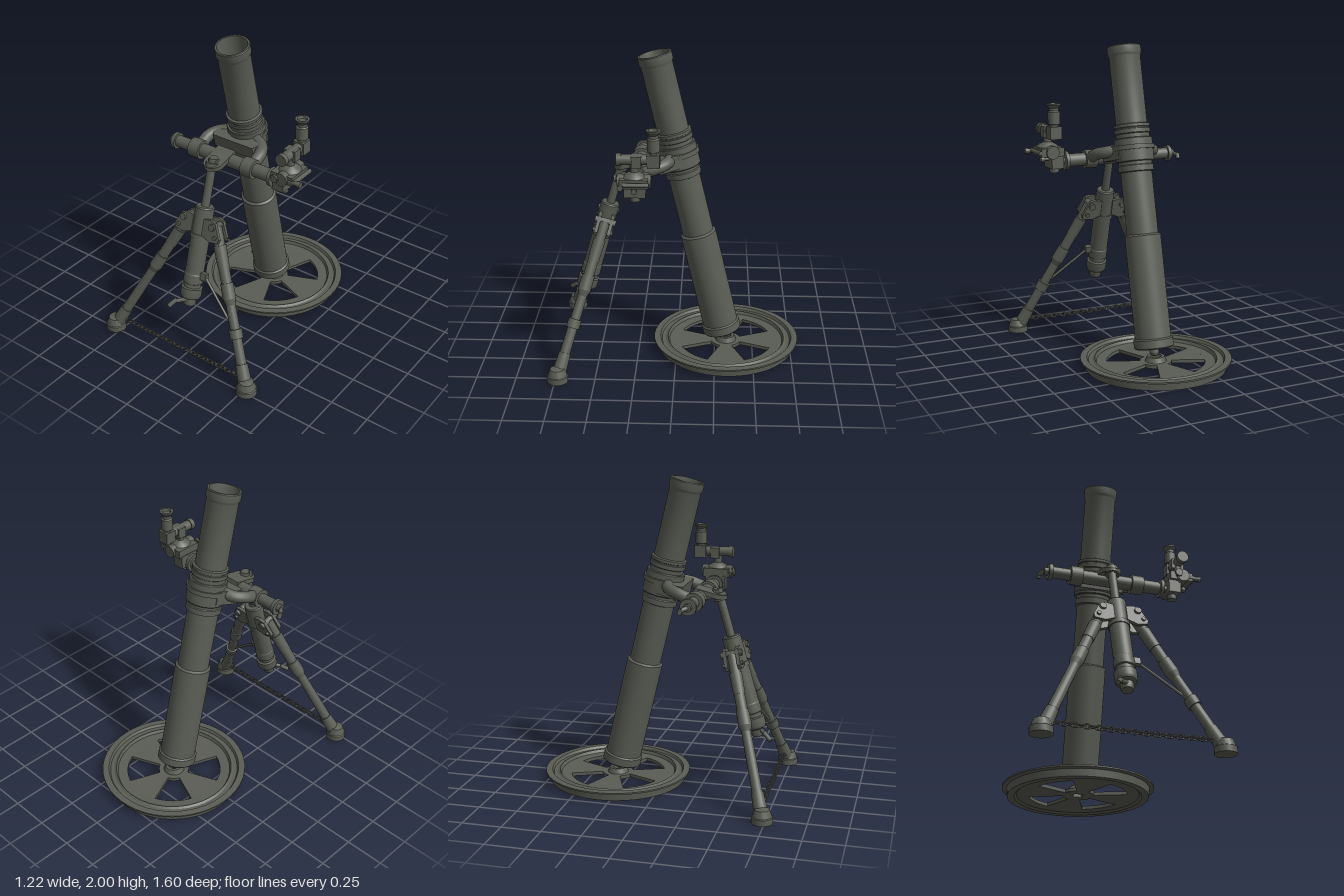
import * as THREE from 'three';
import { toCreasedNormals } from 'three/addons/utils/BufferGeometryUtils.js';

const olive = new THREE.MeshStandardMaterial({ color: 0x5a5d55 });
olive.name = 'olive grey';

const V = (x, y, z) => new THREE.Vector3(x, y, z);

function add(parent, name, geo, pos = [0, 0, 0], rot = [0, 0, 0]) {
  const m = new THREE.Mesh(geo, olive);
  m.name = name;
  m.position.set(...pos);
  m.rotation.set(...rot);
  parent.add(m);
  return m;
}
function group(parent, name, pos = [0, 0, 0], rx = 0) {
  const g = new THREE.Group();
  g.name = name;
  g.position.set(...pos);
  g.rotation.x = rx;
  parent.add(g);
  return g;
}
// turned part, profile given as [radius, height]
const turned = (pts, seg = 40) =>
  toCreasedNormals(new THREE.LatheGeometry(pts.map(p => new THREE.Vector2(...p)), seg), 0.5);
const cyl = (r, h, seg = 20, r2 = r) => new THREE.CylinderGeometry(r, r2, h, seg);
const box = (x, y, z) => new THREE.BoxGeometry(x, y, z);
const plate = (shape, depth) =>
  new THREE.ExtrudeGeometry(shape, { depth, bevelEnabled: false, curveSegments: 20 });
const poly = pts => new THREE.Shape(pts.map(p => new THREE.Vector2(...p)));

// cylinder between two points, ra at a and rb at b
function rod(parent, name, a, b, ra, rb = ra, seg = 18) {
  const d = b.clone().sub(a);
  const m = add(parent, name, new THREE.CylinderGeometry(rb, ra, d.length(), seg));
  m.position.copy(a).addScaledVector(d, 0.5);
  m.quaternion.setFromUnitVectors(V(0, 1, 0), d.normalize());
  return m;
}
const alongX = [0, 0, Math.PI / 2], alongZ = [Math.PI / 2, 0, 0];

function basePlate(root) {
  const g = group(root, 'basePlate', [0, 0, -0.325]);
  add(g, 'plateRim', turned([[0.31, 0.012], [0.385, 0.012], [0.4, 0], [0.445, 0], [0.45, 0.046],
    [0.477, 0.052], [0.477, 0.062], [0.435, 0.064], [0.425, 0.046], [0.4, 0.046], [0.385, 0.056],
    [0.375, 0.036], [0.31, 0.034], [0.31, 0.012]], 48));
  // spoked disc with four wedge openings
  const disc = new THREE.Shape().absarc(0, 0, 0.33, 0, Math.PI * 2);
  for (let i = 0; i < 4; i++) {
    const mid = Math.PI / 4 + i * Math.PI / 2, h = Math.PI / 8;
    const hole = new THREE.Path();
    hole.absarc(0, 0, 0.32, mid - h, mid + h, false);
    hole.absarc(0, 0, 0.1, mid + h, mid - h, true);
    hole.closePath();
    disc.holes.push(hole);
  }
  disc.holes.push(new THREE.Path([[-1, -1], [1, -1], [1, 1], [-1, 1]].map(p =>
    new THREE.Vector2(p[0] * 0.03, p[1] * 0.03))));
  add(g, 'spokes', plate(disc, 0.022), [0, 0.012, 0], [-Math.PI / 2, 0, 0]);
  add(g, 'ballSocket', turned([[0.036, 0.03], [0.07, 0.03], [0.055, 0.065], [0.036, 0.065], [0.036, 0.03]], 24));
}

function barrel(root) {
  const g = group(root, 'barrel', [0, 0.11, -0.3], 0.232);
  add(g, 'barrelTube', turned([[0, -0.055], [0.02, -0.048], [0.03, -0.03], [0.03, 0], [0.118, 0],
    [0.126, 0.008], [0.126, 0.058], [0.115, 0.066], [0.115, 0.712], [0.1, 0.722], [0.1, 1.115],
    [0.113, 1.12], [0.113, 1.155], [0.107, 1.16], [0.107, 1.355], [0.114, 1.36], [0.114, 1.385],
    [0.108, 1.388], [0.108, 1.394], [0.114, 1.397], [0.114, 1.415], [0.1, 1.42], [0.1, 1.85],
    [0.108, 1.865], [0.108, 1.912], [0.104, 1.917], [0.093, 1.917], [0.09, 1.9], [0.09, 1.3], [0, 1.3]], 40));
  // collar holding the barrel
  add(g, 'collar', turned([[0.1, 1.18], [0.118, 1.18], [0.122, 1.185], [0.122, 1.325], [0.118, 1.33], [0.1, 1.33]]));
  const block = poly([[-0.122, 0.03], [0.122, 0.03], [0.165, -0.125], [0.15, -0.155], [-0.15, -0.155], [-0.165, -0.125]]);
  add(g, 'collarBlock', plate(block, 0.09), [0, 1.2, 0], [-Math.PI / 2, 0, 0]);
  add(g, 'collarCap', cyl(0.132, 0.03, 32), [0, 1.27, 0]);
}

function crossPiece(root) {
  const g = group(root, 'crossPiece', [0, 1.255, 0.235]);
  add(g, 'crossTube', cyl(0.037, 0.73), [-0.005, 0, 0], alongX);
  add(g, 'crossTubeCentre', cyl(0.043, 0.34), [0, 0, 0], alongX);
  add(g, 'crossTubeEnd', cyl(0.042, 0.11), [0.295, 0, 0], alongX);
  add(g, 'endFlange', cyl(0.06, 0.022), [0.368, 0, 0], alongX);
  add(g, 'sightShaft', cyl(0.022, 0.08), [0.41, 0, 0], alongX);
  add(g, 'endCap', cyl(0.052, 0.025), [-0.367, 0, 0], alongX);
  add(g, 'endHub', cyl(0.025, 0.03), [-0.39, 0, 0], alongX);
  // traverse crank
  rod(g, 'crankArm', V(-0.4, 0, 0), V(-0.425, -0.01, -0.03), 0.014);
  rod(g, 'crankHandle', V(-0.425, 0.0, -0.03), V(-0.425, -0.035, -0.045), 0.014);
  for (const s of [-1, 1]) {
    add(g, 'yokeRing', cyl(0.06, 0.078, 24), [s * 0.2, 0, 0], alongX);
    const curve = new THREE.CatmullRomCurve3([V(s * 0.1, 0.075, -0.2), V(s * 0.165, 0.06, -0.165),
      V(s * 0.197, 0.045, -0.11), V(s * 0.2, 0.015, -0.03)]);
    add(g, 'yokeArm', new THREE.TubeGeometry(curve, 14, 0.038, 14));
  }
  // lug carrying the elevating column
  const lug = new THREE.Shape();
  lug.moveTo(-0.065, 0.05).lineTo(-0.065, -0.085);
  lug.absarc(0, -0.085, 0.065, Math.PI, Math.PI * 2, false);
  lug.lineTo(0.065, 0.05);
  const lg = group(g, 'columnLug', [0, 0.015, 0.01], 0.232);
  add(lg, 'lugPlate', plate(lug, 0.03), [0, 0, 0], [-Math.PI / 2, 0, 0]);
  add(lg, 'lugBolt', cyl(0.033, 0.02, 6), [0, 0.04, 0.085]);
}

const pin = V(0, 1.265, 0.35), tilt = -0.284;

function column(root) {
  const g = group(root, 'elevatingColumn', pin.toArray(), tilt);
  add(g, 'columnHead', cyl(0.042, 0.05), [0, -0.01, 0]);
  add(g, 'innerRod', cyl(0.027, 0.4), [0, -0.16, 0]);
  add(g, 'outerSleeve', turned([[0, -0.94], [0.035, -0.94], [0.04, -0.925], [0.04, -0.895], [0.06, -0.885],
    [0.068, -0.87], [0.068, -0.815], [0.055, -0.81], [0.055, -0.785], [0.063, -0.78], [0.063, -0.72], [0.06, -0.715],
    [0.06, -0.278], [0.054, -0.27], [0, -0.27]], 28));
  // elevation crank
  rod(g, 'crankArm', V(0, -0.9, 0.02), V(-0.06, -0.925, 0.06), 0.014);
  rod(g, 'crankHandle', V(-0.06, -0.915, 0.055), V(-0.09, -0.965, 0.09), 0.015);
  // leg hinges: paired cheeks with bolts
  for (const s of [-1, 1]) {
    const cheek = [[0.04, -0.335], [0.09, -0.325], [0.125, -0.335], [0.172, -0.43], [0.165, -0.455], [0.1, -0.465], [0.04, -0.44]]
      .map(p => [s * p[0], p[1]]);
    for (const z of [-0.052, 0.03]) add(g, 'hingeCheek', plate(poly(s < 0 ? cheek.reverse() : cheek), 0.022), [0, 0, z]);
    add(g, 'hingeBolt', cyl(0.022, 0.135, 12), [s * 0.11, -0.365, 0], alongZ);
    add(g, 'hingePin', cyl(0.013, 0.13, 10), [s * 0.14, -0.425, 0], alongZ);
  }
  add(g, 'sleeveBand', cyl(0.066, 0.03, 24), [0, -0.46, 0]);
  add(g, 'strutBracket', box(0.05, 0.045, 0.035), [0.075, -0.72, 0]);
}

function legs(root) {
  const at = (s, t) => V(s * 0.105, 0.91, 0.455).lerp(V(s * 0.515, 0.06, 0.722), t);
  for (const s of [-1, 1]) {
    const g = group(root, s > 0 ? 'leftLeg' : 'rightLeg');
    rod(g, 'legUpper', at(s, 0), at(s, 0.42), 0.034, 0.034);
    rod(g, 'legSleeve', at(s, 0.12), at(s, 0.26), 0.04, 0.037);
    rod(g, 'legJoint', at(s, 0.36), at(s, 0.46), 0.04, 0.042);
    rod(g, 'legTaper', at(s, 0.46), at(s, 0.5), 0.042, 0.03);
    rod(g, 'legLower', at(s, 0.48), at(s, 0.9), 0.03, 0.033);
    rod(g, 'legAnkle', at(s, 0.88), at(s, 1.03), 0.038, 0.045);
    add(g, 'foot', turned([[0, 0], [0.066, 0], [0.066, 0.038], [0.06, 0.042], [0.045, 0.085], [0, 0.1]], 28), [s * 0.535, 0, 0.733]);
  }
  // brace on one side only
  const end = at(1, 0.685);
  rod(root, 'braceCollar', at(1, 0.655), at(1, 0.715), 0.042);
  rod(root, 'brace', V(0.085, 0.575, 0.55), end, 0.009, 0.009, 8);
}

function chain(root) {
  const g = group(root, 'chain');
  const link = new THREE.TorusGeometry(0.014, 0.0048, 6, 12).scale(1.6, 1, 1);
  const n = 29;
  for (let i = 0; i < n; i++) {
    const u = i / (n - 1) * 2 - 1;
    add(g, 'chainLink', link, [u * 0.475, 0.078 + 0.006 * u * u, 0.715], [i % 2 ? Math.PI / 2 : 0, 0, 0]);
  }
}

function sight(root) {
  const g = group(root, 'sight', [0.49, 0, 0]);
  // elbow telescope
  add(g, 'eyepiece', turned([[0, 1.43], [0.034, 1.43], [0.034, 1.485], [0.028, 1.49], [0.028, 1.505], [0.038, 1.51],
    [0.038, 1.585], [0.03, 1.592], [0.03, 1.61], [0.044, 1.628], [0.044, 1.638], [0.03, 1.638], [0.025, 1.625], [0, 1.625]], 24), [0, 0, 0.12]);
  add(g, 'elbowBlock', box(0.076, 0.08, 0.075), [0, 1.455, 0.12]);
  add(g, 'telescopeTube', cyl(0.032, 0.19), [0, 1.458, 0.235], alongZ);
  add(g, 'telescopeRing', cyl(0.038, 0.03), [0, 1.458, 0.325], alongZ);
  add(g, 'telescopeClamp', box(0.08, 0.07, 0.06), [0, 1.45, 0.22]);
  // mount
  add(g, 'mountNeck', turned([[0.07, 1.35], [0.06, 1.365], [0.025, 1.385], [0.025, 1.43]], 24), [0, 0, 0.235]);
  add(g, 'mountBody', box(0.15, 0.055, 0.17), [-0.005, 1.325, 0.235]);
  add(g, 'mountDrum', cyl(0.042, 0.2), [0, 1.325, 0.235], alongZ);
  add(g, 'mountLower', box(0.08, 0.09, 0.13), [-0.045, 1.26, 0.235]);
  add(g, 'lowerBarrel', cyl(0.03, 0.05, 16), [-0.045, 1.21, 0.235]);
  add(g, 'lowerKnob', cyl(0.022, 0.014, 16), [-0.045, 1.192, 0.235]);
  add(g, 'sideSpindle', cyl(0.01, 0.06, 10), [0.01, 1.272, 0.235], alongX);
  add(g, 'sideKnob', cyl(0.018, 0.025, 14), [0.035, 1.272, 0.235], alongX);
  add(g, 'levelVial', cyl(0.014, 0.17, 12), [0.08, 1.325, 0.23], alongZ);
  add(g, 'wormShaft', cyl(0.015, 0.16, 12), [0.04, 1.322, 0.31], alongX);
  add(g, 'wormKnob', cyl(0.018, 0.02, 14), [0.115, 1.322, 0.31], alongX);
  add(g, 'frontSpindle', cyl(0.012, 0.05, 10), [-0.035, 1.33, 0.33], alongZ);
  add(g, 'frontKnob', cyl(0.025, 0.014, 16), [-0.035, 1.33, 0.35], alongZ);
}

export function createModel() {
  const model = new THREE.Group();
  model.name = 'tripodTube';
  const root = group(model, 'assembly', [-0.01, 0, 0]);
  [basePlate, barrel, crossPiece, column, legs, chain, sight].forEach(build => build(root));
  return model;
}
